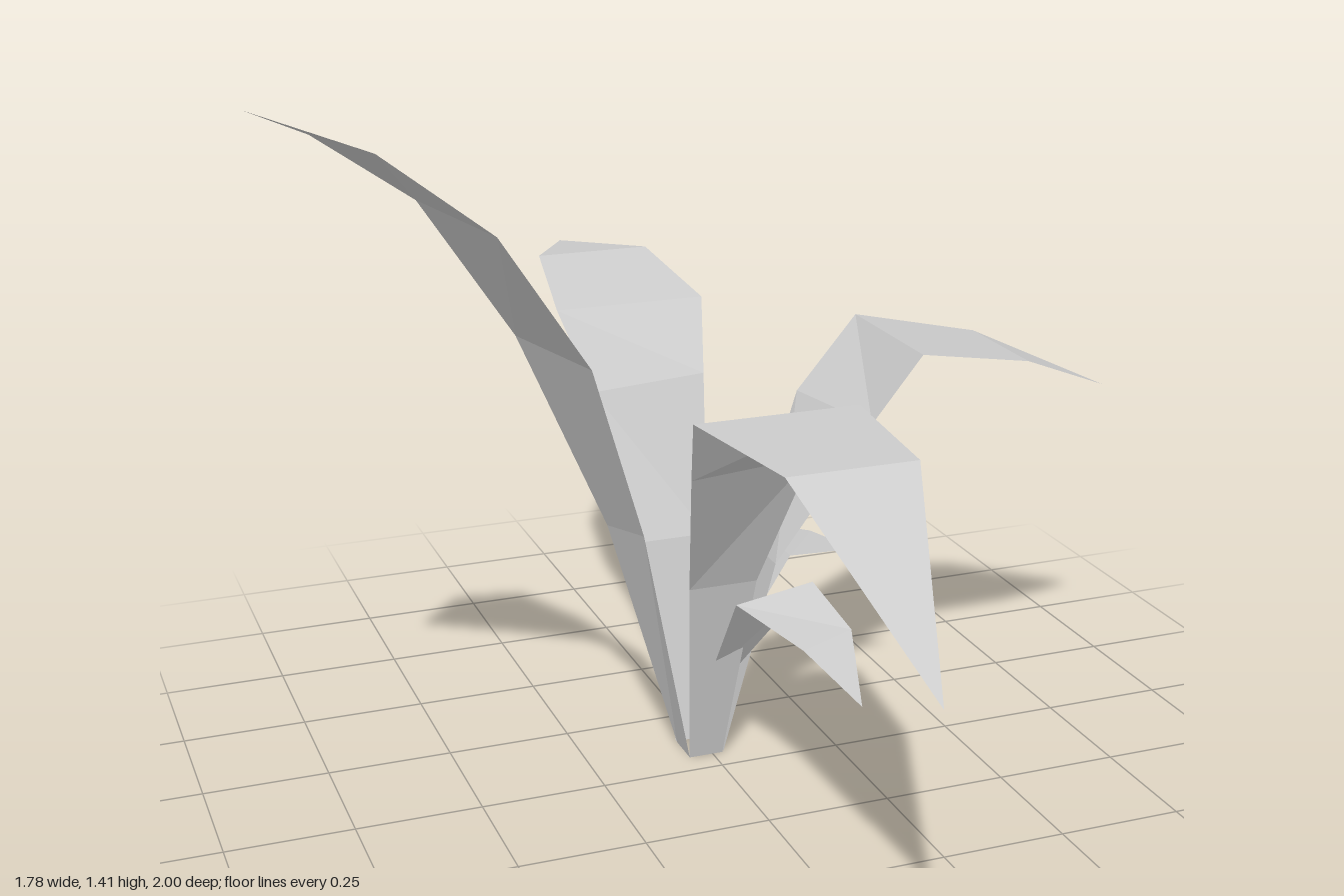
import * as THREE from 'three';

const material = new THREE.MeshStandardMaterial({
  color: 0xcccccc, flatShading: true, side: THREE.DoubleSide,
});

// Flat-shaded blade: pairs of [left, right] edge points from root upward, then a tip
function blade(name, rows, tip) {
  const positions = [];
  const tri = (a, b, c) => positions.push(...a, ...b, ...c);
  for (let i = 0; i < rows.length - 1; i++) {
    const [l0, r0] = rows[i];
    const [l1, r1] = rows[i + 1];
    tri(l0, l1, r1);
    tri(l0, r1, r0);
  }
  const [l, r] = rows[rows.length - 1];
  tri(l, tip, r);
  const geometry = new THREE.BufferGeometry();
  geometry.setAttribute('position', new THREE.Float32BufferAttribute(positions, 3));
  geometry.computeVertexNormals();
  const mesh = new THREE.Mesh(geometry, material);
  mesh.name = name;
  return mesh;
}

// Broad leaf growing towards local +z; only its outer bend and tip vary
function broadLeaf(name, angle, [bendY, bendZ], [tipY, tipZ]) {
  const row = (halfWidth, y, z, leftZ = z) => [[-halfWidth, y, leftZ], [halfWidth, y, z]];
  const leaf = blade(name, [
    row(0.036, 0, 0.04),
    row(0.07, 0.41, 0.138),
    row(0.13, 0.7, 0.265, 0.315),
    row(0.16, 0.84, 0.407),
    row(0.122, bendY, bendZ),
  ], [0, tipY, tipZ]);
  leaf.rotation.y = angle;
  return leaf;
}

// Short drooping leaf, skewed to one side of local +z
function smallLeaf(name, angle) {
  const leaf = blade(name, [
    [[-0.015, 0, 0.015], [0.02, 0, 0.01]],
    [[0, 0.19, 0.068], [0.055, 0.19, 0.06]],
    [[0.003, 0.392, 0.2], [0.17, 0.41, 0.183]],
    [[0.07, 0.358, 0.375], [0.19, 0.363, 0.325]],
  ], [0.143, 0.278, 0.483]);
  leaf.rotation.y = angle;
  return leaf;
}

export function createModel() {
  const model = new THREE.Group();
  model.name = 'plant';
  const leaves = new THREE.Group();
  leaves.name = 'leaves';
  leaves.position.set(-0.015, 0, -0.095);
  model.add(leaves);

  // Three broad leaves at right angles
  leaves.add(
    broadLeaf('frontLeaf', 0, [0.845, 0.735], [0.565, 1.09]),
    broadLeaf('leftLeaf', Math.PI / 2, [0.79, 0.66], [0.68, 0.905]),
    broadLeaf('backLeaf', Math.PI, [0.895, 0.66], [0.865, 0.905]),
  );

  // Tall leaf arching towards -x with a slight twist
  leaves.add(blade('tallRightLeaf', [
    [[-0.035, 0, -0.036], [-0.035, 0, 0.04]],
    [[-0.18, 0.5, -0.03], [-0.15, 0.52, 0.105]],
    [[-0.35, 0.9, -0.05], [-0.28, 0.895, 0.205]],
    [[-0.535, 1.18, -0.033], [-0.47, 1.175, 0.283]],
    [[-0.74, 1.33, 0.055], [-0.677, 1.337, 0.298]],
  ], [-0.88, 1.412, 0.238]));

  // Two small inner leaves
  leaves.add(smallLeaf('smallFrontLeaf', 0), smallLeaf('smallLeftLeaf', Math.PI / 2));

  return model;
}
